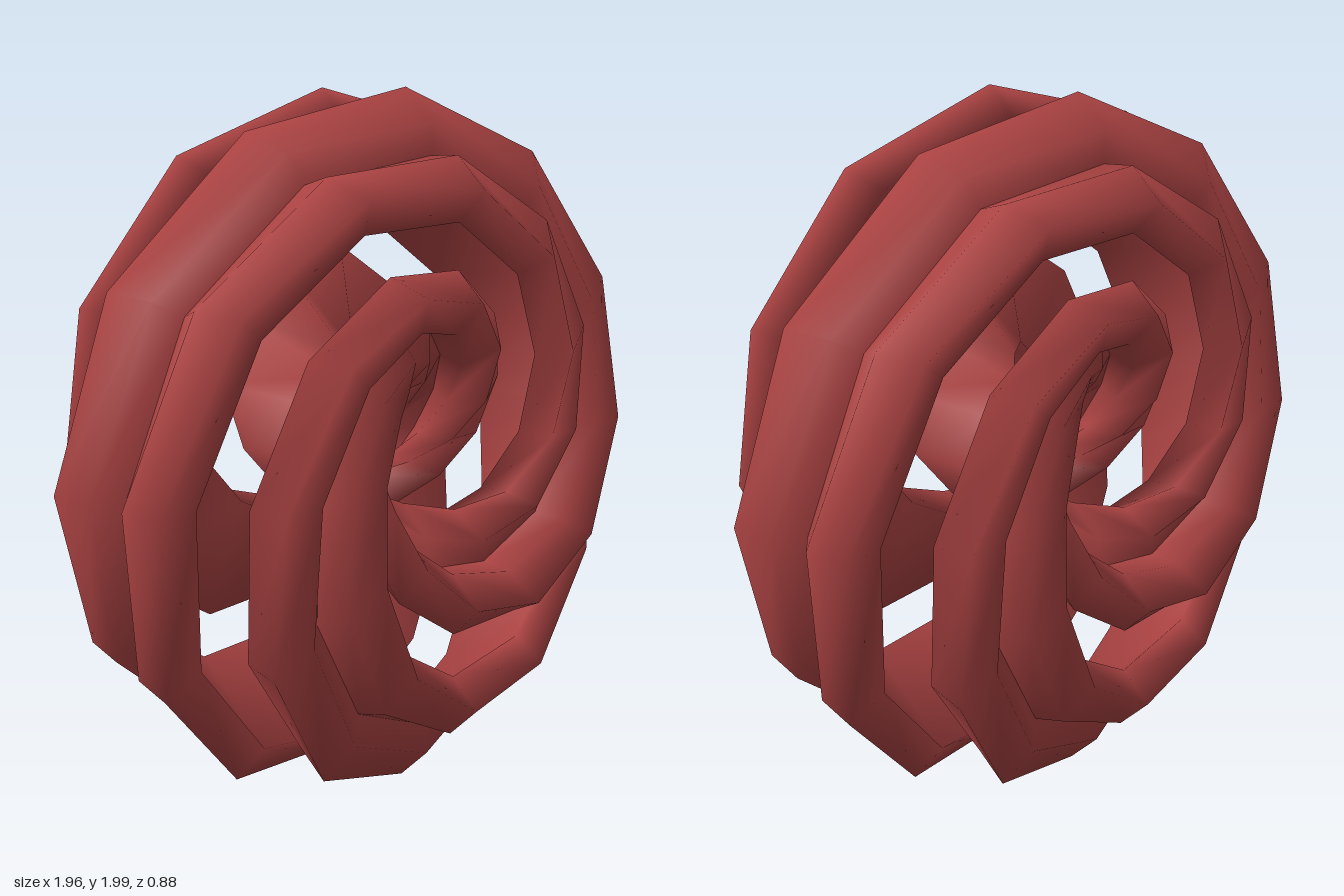
import * as THREE from 'three';

const RING_RADIUS = 0.58; // centre of the tube to the middle of the ring
const STEPS = 12;         // cross-sections per turn

// Section of one band: (outward, sideways). It starts and ends at the bottom
// of the outer groove, which keeps the crease between the two lobes sharp.
const PROFILE = [
  [0.335, 0], [0.40, 0.06], [0.40, 0.19], [0.28, 0.19],
  [0.28, -0.19], [0.40, -0.19], [0.40, -0.06], [0.335, 0],
];

// A two-lobed band that runs twice round the ring while making one full twist
function twistedBand(startAngle) {
  const rings = STEPS * 2;
  const n = PROFILE.length;
  const positions = [];
  const index = [];
  for (let i = 0; i < rings; i++) {
    const theta = (i / STEPS) * Math.PI * 2;
    const twist = startAngle - theta / 2;
    const c = Math.cos(twist), s = Math.sin(twist);
    for (const [a, b] of PROFILE) {
      const r = RING_RADIUS + a * c - b * s;
      positions.push(r * Math.cos(theta), r * Math.sin(theta), a * s + b * c);
    }
    const next = (i + 1) % rings;
    for (let j = 0; j < n - 1; j++) {
      const p = i * n + j, u = next * n + j;
      index.push(p, u, p + 1, u, u + 1, p + 1);
    }
  }
  const geometry = new THREE.BufferGeometry();
  geometry.setAttribute('position', new THREE.Float32BufferAttribute(positions, 3));
  geometry.setIndex(index);
  geometry.computeVertexNormals();
  return geometry;
}

export function createModel() {
  const model = new THREE.Group();
  model.name = 'twistedRing';
  const red = new THREE.MeshStandardMaterial({ color: 0xaa4242 });
  red.name = 'brick red';

  // Two interlocked bands, a quarter twist apart
  ['firstBand', 'secondBand'].forEach((name, i) => {
    const band = new THREE.Mesh(twistedBand(i * Math.PI / 2), red);
    band.name = name;
    band.position.y = 1;
    model.add(band);
  });
  return model;
}
